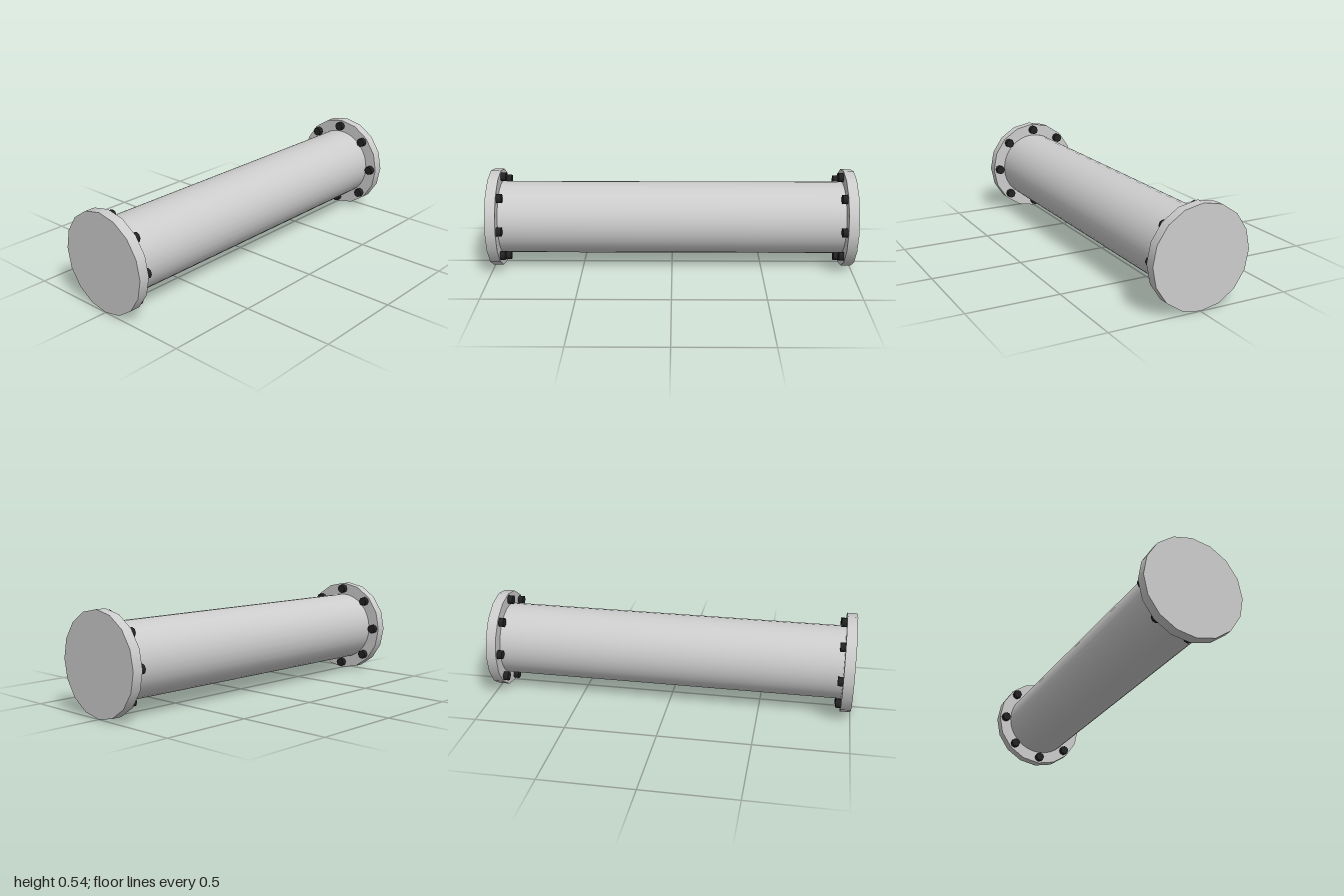
import * as THREE from 'three';

export function createModel() {
  const model = new THREE.Group();
  model.name = 'flangedPipe';
  const steel = new THREE.MeshStandardMaterial({ name: 'light grey steel', color: 0xcccccc });
  const black = new THREE.MeshStandardMaterial({ name: 'black bolts', color: 0x222222 });

  const centreY = 0.27, flangeThick = 0.056, boltLength = 0.028;
  const boltCount = 8, boltCircle = 0.235;

  // Cylinder lying along x, centred on the given point
  function rod(name, radius, length, sides, material, x, y, z, parent) {
    const geometry = new THREE.CylinderGeometry(radius, radius, length, sides).rotateZ(Math.PI / 2);
    const mesh = new THREE.Mesh(geometry, material);
    mesh.name = name;
    mesh.position.set(x, y, z);
    parent.add(mesh);
  }

  // Main tube, meeting the inner flange faces
  rod('pipe', 0.2, 2 - flangeThick, 32, steel, 0, centreY, 0, model);

  // End flanges, each with a ring of bolts on its inner face
  for (const side of [-1, 1]) {
    const end = new THREE.Group();
    end.name = side > 0 ? 'leftEnd' : 'rightEnd';
    rod('flange', 0.27, flangeThick, 16, steel, side * (1 - flangeThick / 2), centreY, 0, end);
    for (let i = 0; i < boltCount; i++) {
      const a = (i / boltCount) * Math.PI * 2;
      rod('bolt', 0.026, boltLength, 8, black,
        side * (1 - flangeThick - boltLength / 2),
        centreY + boltCircle * Math.cos(a), boltCircle * Math.sin(a), end);
    }
    model.add(end);
  }
  return model;
}
